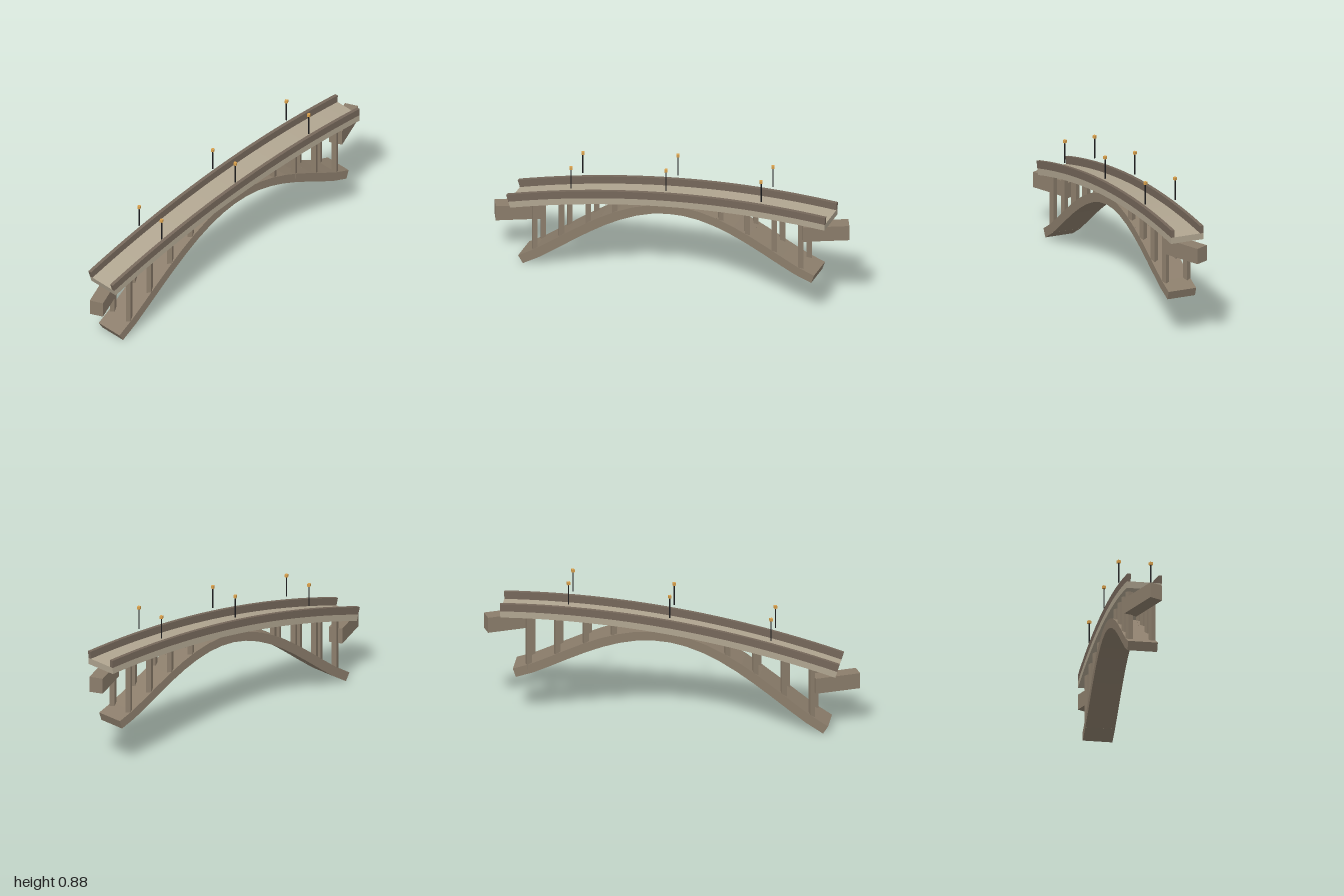
import * as THREE from 'three';

const TURN = Math.atan2(0.901, 0.434); // bridge axis runs diagonally from front left to back right
const C = Math.cos(TURN), S = Math.sin(TURN);

// Height of the parapet top and of the arch centre line, s runs along the bridge
const parapetTop = s => 0.66 + 0.135 * s - 0.085 * s * s;
const archCentre = s => {
  const q = s / 0.91;
  return 0.148 + 0.127 * q + 0.4 * Math.pow(Math.max(0, Math.cos(q * Math.PI / 2)), 1.2);
};

export function createModel() {
  const mat = (name, color) => {
    const m = new THREE.MeshStandardMaterial({ color });
    m.name = name;
    return m;
  };
  const paving = mat('pale paving', 0xb0a590);
  const stone = mat('stone', 0x8b7d6b);
  const darkStone = mat('dark stone', 0x75675a);
  const iron = mat('black iron', 0x1c1c1e);
  const glow = mat('amber lamp', 0xd9a04c);

  const model = new THREE.Group();
  model.name = 'footbridge';
  const span = new THREE.Group(); // local x along the bridge, local z across it
  span.name = 'span';
  span.rotation.y = TURN;
  model.add(span);

  const add = (parent, name, geo, material, x, y, z) => {
    const m = new THREE.Mesh(geo, material);
    m.name = name;
    m.position.set(x, y, z);
    parent.add(m);
    return m;
  };

  // Curved band between two depths below the parapet line, extruded across
  const band = (name, top, bottom, width, z, material) => {
    const n = 24;
    const edge = d => Array.from({ length: n + 1 }, (_, i) => {
      const s = 0.996 * (2 * i / n - 1);
      const slope = 0.135 - 0.17 * s, l = Math.hypot(1, slope);
      return new THREE.Vector2(s + d * slope / l, parapetTop(s) - d / l);
    });
    const shape = new THREE.Shape([...edge(bottom), ...edge(top).reverse()]);
    const geo = new THREE.ExtrudeGeometry(shape, { depth: width, bevelEnabled: false, steps: 1 });
    add(span, name, geo, material, 0, 0, z - width / 2);
  };
  band('deck', 0.045, 0.084, 0.204, 0, paving);
  for (const side of [-1, 1]) band('parapet', 0, 0.045, 0.021, side * 0.0915, darkStone);

  // Arch of straight stone blocks
  const blocks = 18;
  for (let i = 0; i < blocks; i++) {
    const a = 0.91 * (2 * i / blocks - 1), b = 0.91 * (2 * (i + 1) / blocks - 1);
    const ya = archCentre(a), yb = archCentre(b);
    const geo = new THREE.BoxGeometry(Math.hypot(b - a, yb - ya) + 0.006, 0.055, 0.174);
    add(span, 'archBlock', geo, stone, (a + b) / 2, (ya + yb) / 2, 0)
      .rotation.z = Math.atan2(yb - ya, b - a);
  }

  // Square posts in pairs between arch and deck, shorter towards the crown
  for (let i = -5; i <= 5; i++) {
    const s = i * 0.166;
    const low = archCentre(s), high = parapetTop(s) - 0.07;
    if (high - low < 0.06) continue;
    for (const u of [-0.067, 0.067]) {
      add(model, 'post', new THREE.BoxGeometry(0.03, high - low, 0.03), stone,
        s * C + u * S, (low + high) / 2, -s * S + u * C);
    }
  }

  // Abutments reaching out from each bank
  add(model, 'frontAbutment', new THREE.BoxGeometry(0.082, 0.095, 0.27), stone, -0.42, 0.298, 0.865);
  add(model, 'backAbutment', new THREE.BoxGeometry(0.082, 0.095, 0.27), stone, 0.42, 0.568, -0.865);
  add(model, 'bearing', new THREE.BoxGeometry(0.03, 0.036, 0.03), iron, 0.39, 0.597, -0.74);

  // Lamps in pairs along the parapets
  const pole = new THREE.CylinderGeometry(0.004, 0.004, 0.13, 6);
  const head = new THREE.BoxGeometry(0.017, 0.017, 0.017);
  for (const s of [-0.594, 0, 0.594]) {
    for (const u of [-0.094, 0.094]) {
      const lamp = new THREE.Group();
      lamp.name = 'lamp';
      lamp.position.set(s * C + u * S, parapetTop(s) + 0.02, -s * S + u * C);
      add(lamp, 'lampPole', pole, iron, 0, 0.065, 0);
      add(lamp, 'lampHead', head, glow, 0, 0.133, 0);
      model.add(lamp);
    }
  }
  return model;
}
